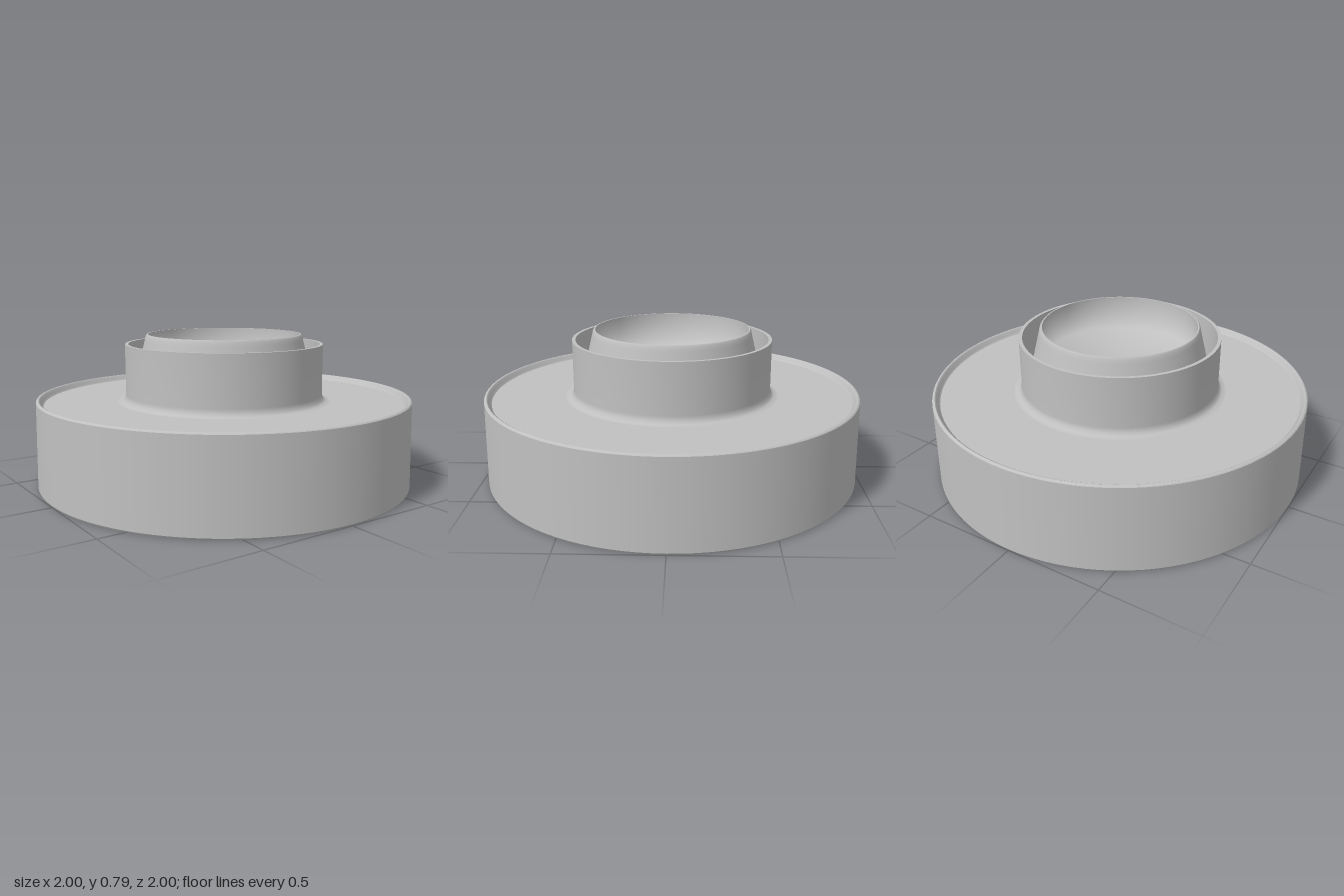
import * as THREE from 'three';

const SEGMENTS = 96;

// Revolved strips: smooth inside each strip, sharp between strips.
// Profiles run counter-clockwise (bottom centre, outside, up, inwards).
function turned(name, strips, material) {
  const group = new THREE.Group();
  group.name = name;
  strips.forEach((strip, i) => {
    const points = strip.map(([r, y]) => new THREE.Vector2(r, y));
    const mesh = new THREE.Mesh(new THREE.LatheGeometry(points, SEGMENTS), material);
    mesh.name = `${name}Surface${i + 1}`;
    group.add(mesh);
  });
  return group;
}

export function createModel() {
  const model = new THREE.Group();
  model.name = 'steppedHub';
  const grey = new THREE.MeshStandardMaterial({ color: 0xc0c0c0 });
  grey.name = 'grey';

  // Wide base with a slight taper and a thin raised rim
  model.add(turned('base', [
    [[0, 0], [0.995, 0]],
    [[0.995, 0], [1, 0.008]],
    [[1, 0.008], [0.993, 0.452]],
    [[0.993, 0.452], [0.988, 0.459], [0.98, 0.46]],
    [[0.98, 0.46], [0.972, 0.455], [0.965, 0.44], [0.955, 0.43]],
    [[0.955, 0.43], [0.57, 0.43]],
  ], grey));

  // Upright collar, blended into the base by a small fillet
  model.add(turned('collar', [
    [[0.57, 0.43], [0.548, 0.434], [0.534, 0.446], [0.528, 0.47], [0.528, 0.735]],
    [[0.528, 0.735], [0.51, 0.735]],
    [[0.51, 0.735], [0.505, 0.46]],
    [[0.505, 0.46], [0.495, 0.46]],
  ], grey));

  // Tapered inner cup with a rounded lip and a shallow hollow
  model.add(turned('cup', [
    [[0.495, 0.46], [0.423, 0.755], [0.419, 0.775], [0.412, 0.785]],
    [[0.412, 0.785], [0.405, 0.785]],
    [[0.405, 0.785], [0.402, 0.6], [0, 0.6]],
  ], grey));

  return model;
}
